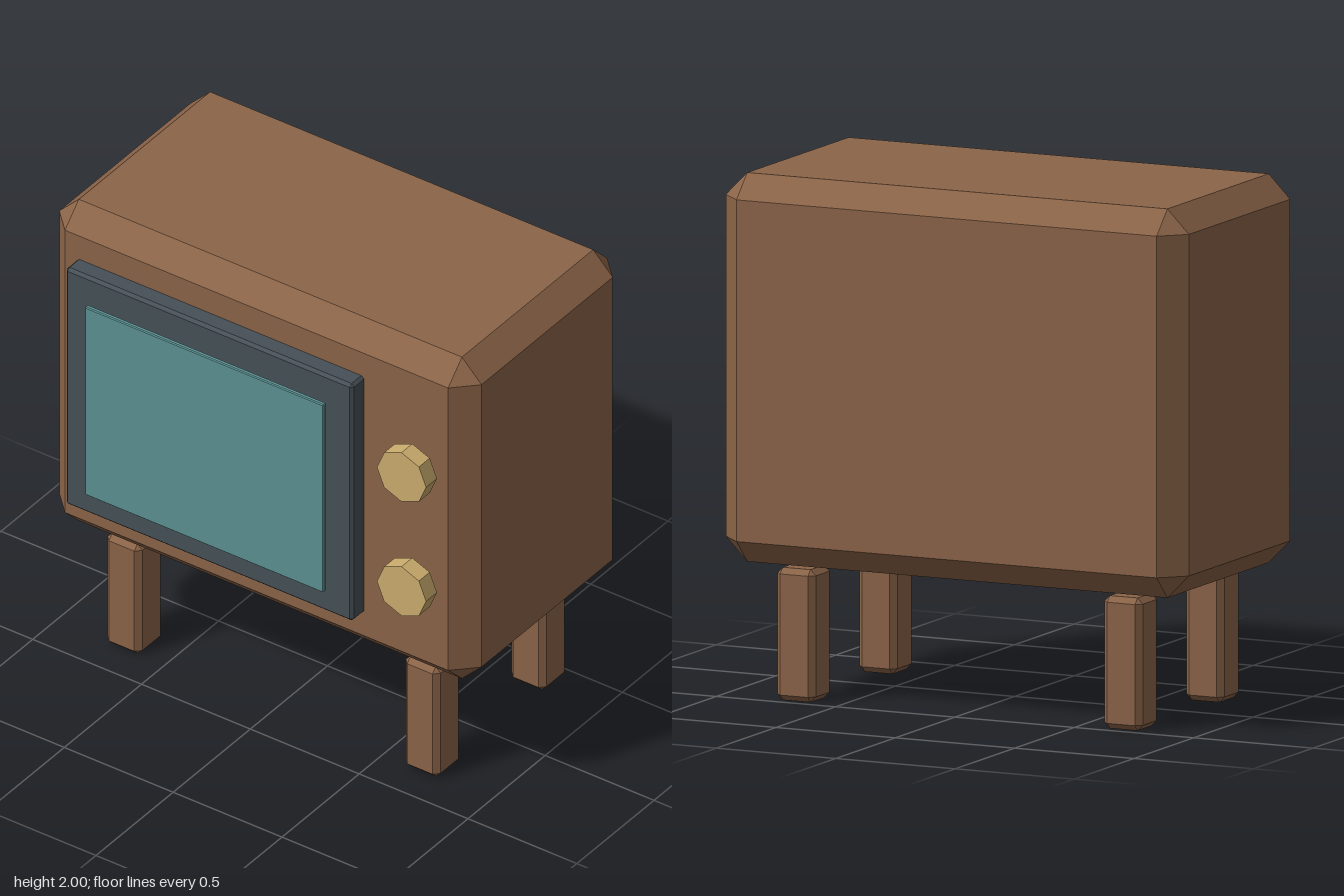
import * as THREE from 'three';
import { ConvexGeometry } from 'three/addons/geometries/ConvexGeometry.js';

const material = (name, color) => {
  const m = new THREE.MeshStandardMaterial({ color });
  m.name = name;
  return m;
};

// Box with every edge cut at 45 degrees, given by its min and max corners
function chamferBox(name, mat, [x0, y0, z0], [x1, y1, z1], c) {
  const h = [(x1 - x0) / 2, (y1 - y0) / 2, (z1 - z0) / 2];
  const points = [];
  for (const sx of [-1, 1]) for (const sy of [-1, 1]) for (const sz of [-1, 1]) {
    for (let axis = 0; axis < 3; axis++) {
      const p = h.map((v, i) => (i === axis ? v : v - c));
      points.push(new THREE.Vector3(sx * p[0], sy * p[1], sz * p[2]));
    }
  }
  const mesh = new THREE.Mesh(new ConvexGeometry(points), mat);
  mesh.position.set((x0 + x1) / 2, (y0 + y1) / 2, (z0 + z1) / 2);
  mesh.name = name;
  return mesh;
}

export function createModel() {
  const wood = material('wood brown', 0x8b6448);
  const dark = material('dark slate', 0x465056);
  const glass = material('screen teal', 0x5c9193);
  const brass = material('brass', 0xcbac6d);
  const model = new THREE.Group();
  model.name = 'television';

  // Cabinet, bezel and the screen standing just in front of it
  model.add(chamferBox('cabinet', wood, [-0.97, 0.52, -0.57], [0.97, 2, 0.46], 0.09));
  model.add(chamferBox('bezel', dark, [-0.825, 0.715, 0.45], [0.495, 1.805, 0.537], 0.012));
  model.add(chamferBox('screen', glass, [-0.71, 0.828, 0.553], [0.387, 1.693, 0.573], 0.004));

  // Two octagonal knobs facing forward
  const knobGeometry = new THREE.CylinderGeometry(0.113, 0.113, 0.07, 8).rotateX(Math.PI / 2).toNonIndexed();
  knobGeometry.computeVertexNormals();
  for (const [name, y] of [['upperKnob', 1.49], ['lowerKnob', 0.965]]) {
    const knob = new THREE.Mesh(knobGeometry, brass);
    knob.position.set(0.73, y, 0.515);
    knob.name = name;
    model.add(knob);
  }

  // Four square legs
  for (const [side, x] of [['Left', 0.685], ['Right', -0.685]]) {
    for (const [end, z] of [['front', 0.288], ['back', -0.398]]) {
      model.add(chamferBox(end + side + 'Leg', wood, [x - 0.08, 0, z - 0.08], [x + 0.08, 0.505, z + 0.08], 0.022));
    }
  }
  return model;
}
